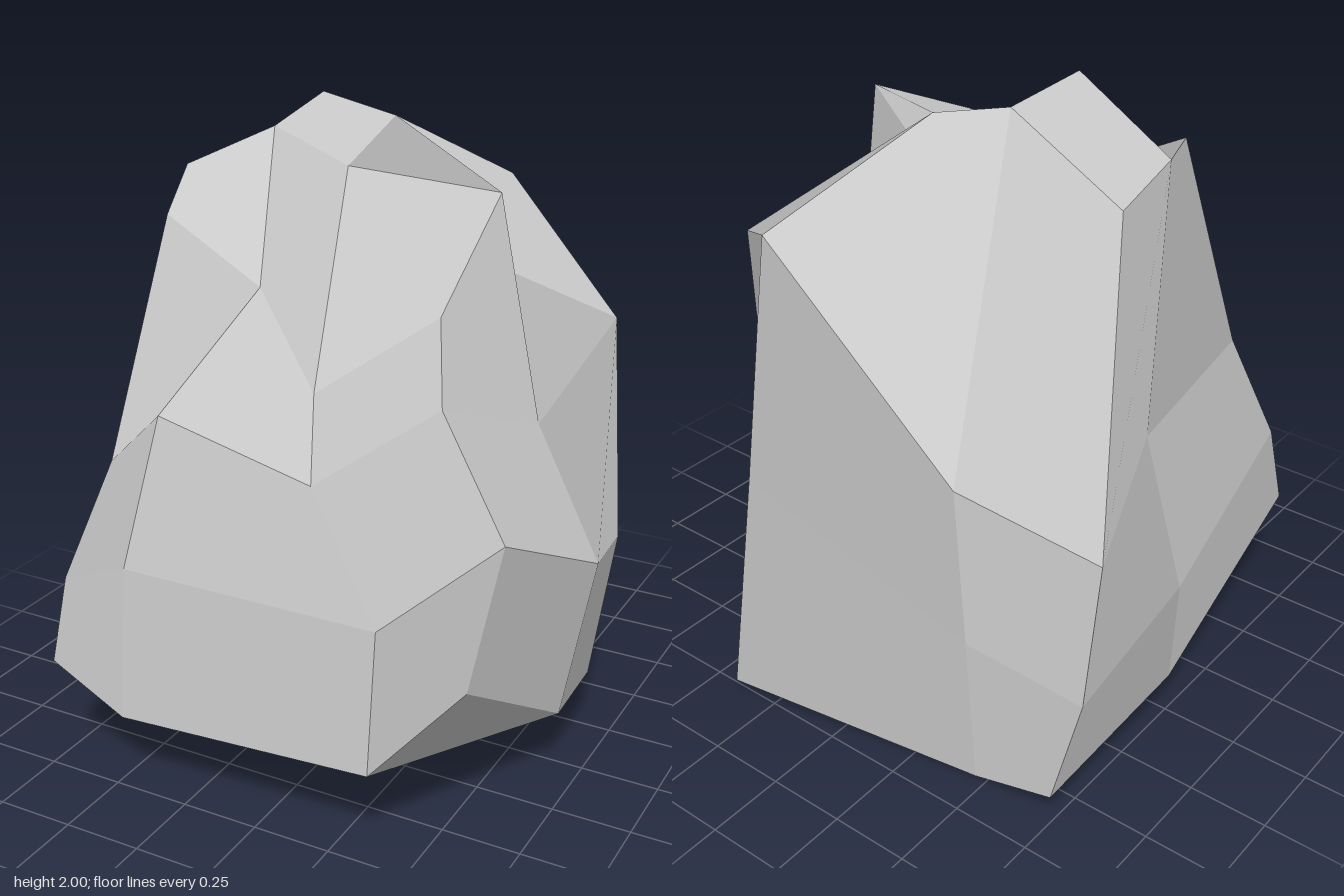
import * as THREE from 'three';

// Cross-sections from bottom to top. Each loop starts at the front right corner
// and runs along the front, the left side, the back and the right side.
const rings = [
  [[-0.7, 0.39, 0.77], [-0.45, 0.26, 0.77], [0.39, 0.31, 0.77], [0.56, 0.47, 0.48], [0.7, 0.24, 0.1],
    [0.69, 0.24, -0.18], [0.41, 0.02, -0.76], [-0.46, 0, -0.61], [-0.75, 0.1, -0.63], [-0.75, 0.13, 0.01]],
  [[-0.67, 0.66, 0.72], [-0.41, 0.77, 0.77], [0.38, 0.73, 0.7], [0.68, 0.98, 0.52], [0.81, 0.79, 0.13],
    [0.75, 0.72, -0.22], [0.26, 0.86, -0.77], [-0.48, 0.56, -0.68], [-0.81, 0.43, -0.57], [-0.77, 0.49, 0]],
  [[-0.56, 1.02, 0.6], [-0.28, 1.26, 0.74], [0.13, 1.08, 0.61], [0.5, 1.35, 0.55], [0.62, 1.2, 0.16],
    [0.67, 1.39, -0.32], [0.12, 1.69, -0.78], [-0.49, 1.11, -0.74], [-0.81, 0.87, -0.5], [-0.69, 1.05, -0.11]],
  [[-0.45, 1.74, 0.41], [-0.13, 1.57, 0.43], [0.04, 1.28, 0.43], [0.43, 1.56, 0.42], [0.43, 1.82, 0.03],
    [0.19, 1.65, -0.02], [-0.08, 1.94, -0.31], [-0.32, 2, -0.28], [-0.58, 1.72, -0.12], [-0.6, 1.81, 0.08]],
];

// Two inner points close each end
const baseInner = [[-0.46, 0.05, 0.03], [0.37, 0.05, 0.05]];
const topInner = [[-0.24, 1.97, 0.15], [-0.08, 1.84, 0]];

function rockGeometry() {
  const positions = [];
  const normals = [];

  // Facet split along its first-to-third diagonal, shaded flat as one face
  const quad = (...corners) => {
    const [a, b, c, d] = corners.map((p) => new THREE.Vector3(...p));
    const normal = c.clone().sub(a).cross(d.clone().sub(b)).normalize();
    for (const p of [a, b, c, a, c, d]) {
      positions.push(p.x, p.y, p.z);
      normals.push(normal.x, normal.y, normal.z);
    }
  };

  // Side facets
  for (let r = 0; r < rings.length - 1; r++) {
    const low = rings[r], high = rings[r + 1], n = low.length;
    for (let i = 0; i < n; i++) {
      const j = (i + 1) % n;
      quad(low[i], low[j], high[j], high[i]);
    }
  }

  // End facets: six quads around the two inner points
  const cap = (k, [p, q], facesDown) => {
    const facets = [
      [k[9], k[0], k[1], p], [p, k[1], k[2], q], [q, k[2], k[3], k[4]],
      [k[6], q, k[4], k[5]], [k[7], p, q, k[6]], [k[8], k[9], p, k[7]],
    ];
    for (const facet of facets) quad(...(facesDown ? facet.reverse() : facet));
  };
  cap(rings[0], baseInner, true);
  cap(rings[rings.length - 1], topInner, false);

  const geometry = new THREE.BufferGeometry();
  geometry.setAttribute('position', new THREE.Float32BufferAttribute(positions, 3));
  geometry.setAttribute('normal', new THREE.Float32BufferAttribute(normals, 3));
  return geometry;
}

export function createModel() {
  const group = new THREE.Group();
  group.name = 'boulder';
  const rock = new THREE.Mesh(rockGeometry(), new THREE.MeshStandardMaterial({ color: 0xcccccc }));
  rock.name = 'rock';
  group.add(rock);
  return group;
}
